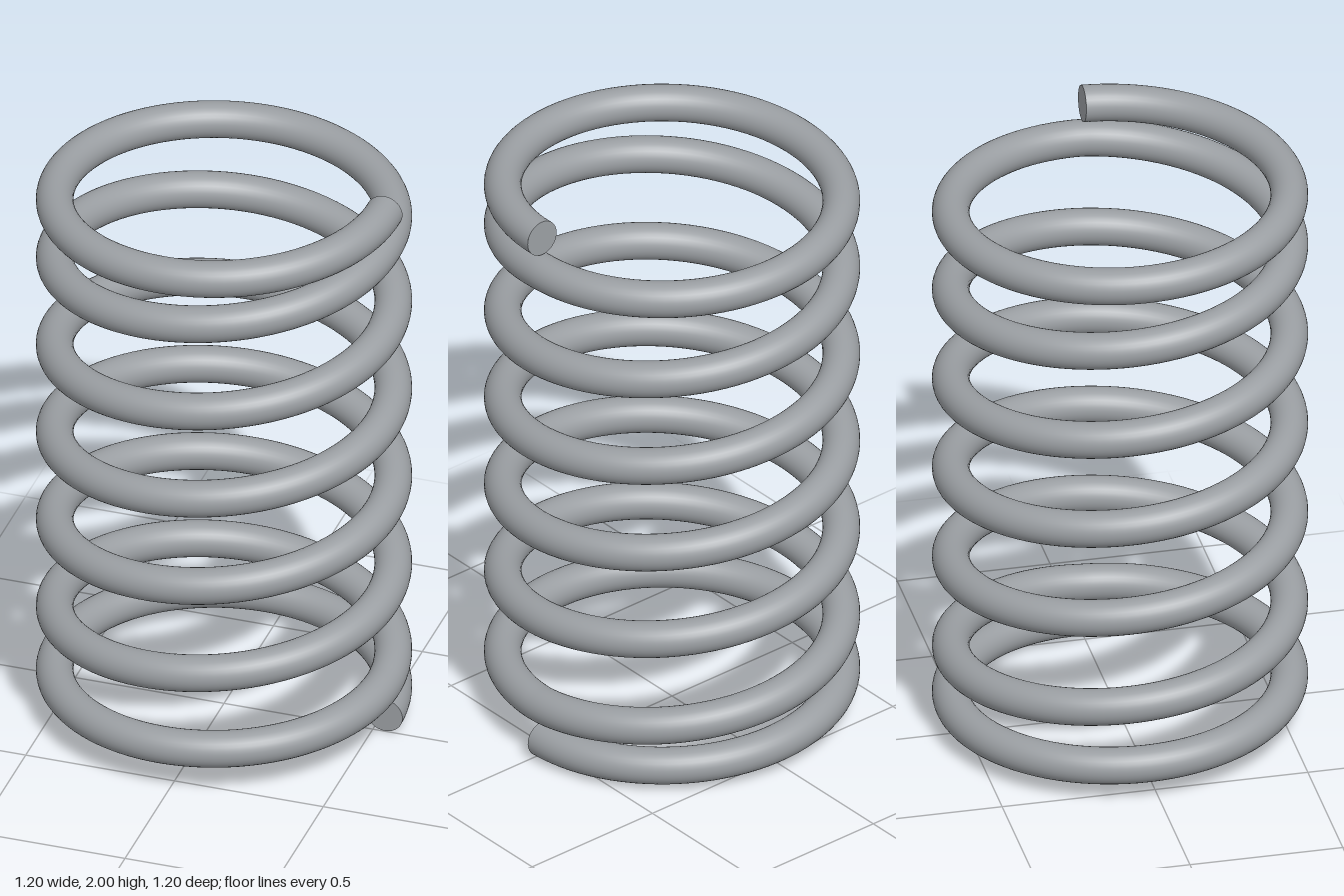
import * as THREE from 'three';

const COIL_RADIUS = 0.54, WIRE_RADIUS = 0.06;
const TURNS = 7, END_PITCH = 0.125, BOTTOM = 0.06, TOP = 1.94;
const MID_PITCH = (TOP - BOTTOM - 2 * END_PITCH) / (TURNS - 2);

// Helix with one tightly wound turn at each end
class SpringCurve extends THREE.Curve {
  getPoint(t, target = new THREE.Vector3()) {
    const n = t * TURNS, a = n * Math.PI * 2;
    const first = Math.min(n, 1);
    const middle = THREE.MathUtils.clamp(n - 1, 0, TURNS - 2);
    const last = Math.max(n - (TURNS - 1), 0);
    const y = BOTTOM + (first + last) * END_PITCH + middle * MID_PITCH;
    return target.set(COIL_RADIUS * Math.cos(a), y, -COIL_RADIUS * Math.sin(a));
  }
}

export function createModel() {
  const group = new THREE.Group();
  group.name = 'coilSpring';
  const steel = new THREE.MeshStandardMaterial({ color: 0x9a9ea2 });
  steel.name = 'steel grey';

  // Wire
  const curve = new SpringCurve();
  curve.arcLengthDivisions = 1400;
  const wire = new THREE.Mesh(new THREE.TubeGeometry(curve, 672, WIRE_RADIUS, 32, false), steel);
  wire.name = 'wire';
  group.add(wire);

  // Flat cut ends
  for (const [name, t, sign] of [['bottomEnd', 0, -1], ['topEnd', 1, 1]]) {
    const cap = new THREE.Mesh(new THREE.CircleGeometry(WIRE_RADIUS, 32), steel);
    cap.name = name;
    cap.position.copy(curve.getPoint(t));
    cap.lookAt(cap.position.clone().addScaledVector(curve.getTangent(t), sign));
    group.add(cap);
  }
  return group;
}
